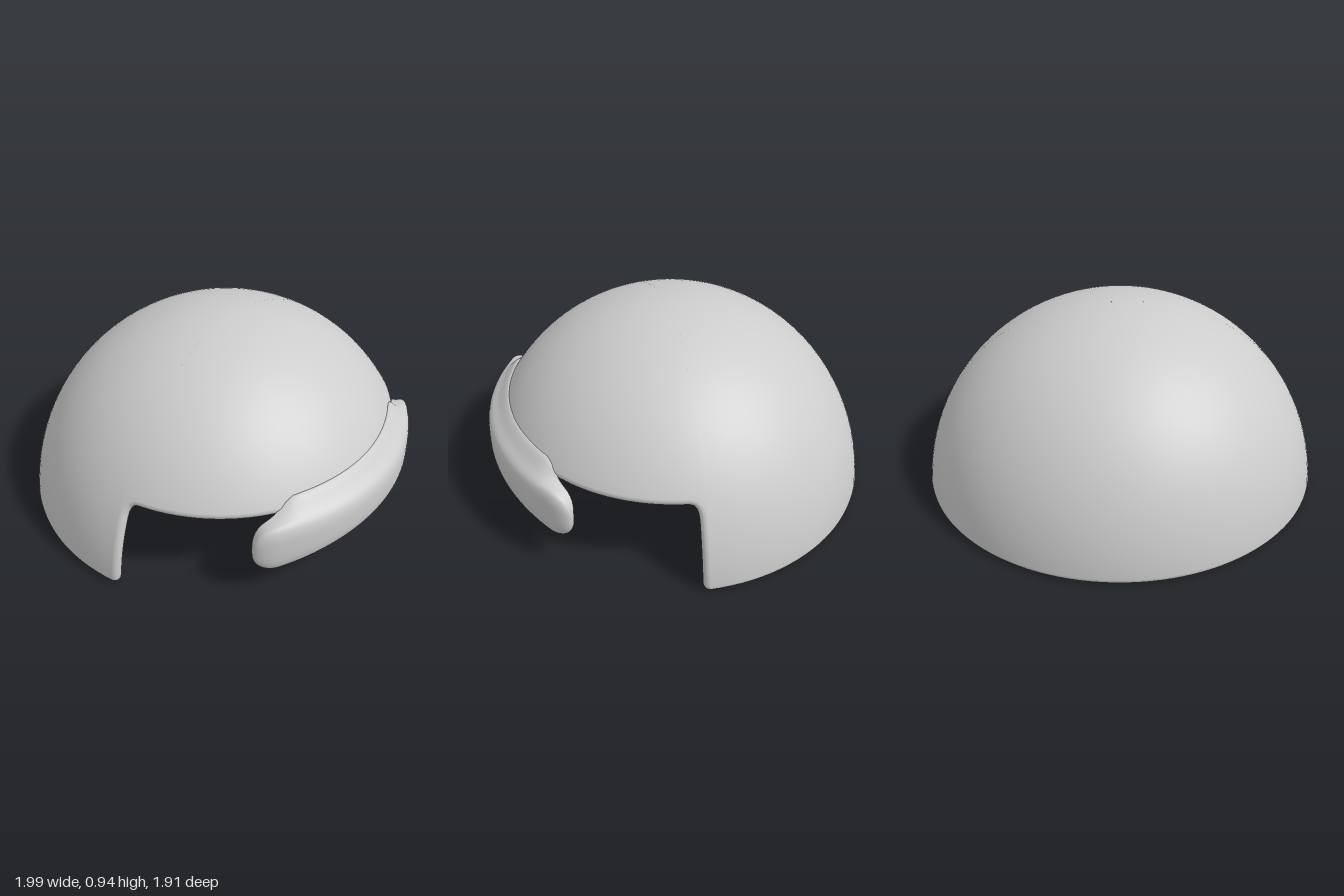
import * as THREE from 'three';
import { mergeVertices } from 'three/addons/utils/BufferGeometryUtils.js';

const RAD = Math.PI / 180;

// Smooth surface from columns of points; rows run downwards on the outside.
function loft(columns) {
  const rows = columns[0].length, pos = [], index = [];
  for (const column of columns) for (const p of column) pos.push(...p);
  for (let c = 0; c < columns.length - 1; c++) {
    for (let r = 0; r < rows - 1; r++) {
      const a = c * rows + r, b = a + 1, d = a + rows, e = d + 1;
      index.push(a, b, d, b, e, d);
    }
  }
  let geo = new THREE.BufferGeometry();
  geo.setAttribute('position', new THREE.Float32BufferAttribute(pos, 3));
  geo.setIndex(index);
  geo = mergeVertices(geo, 1e-5);
  geo.computeVertexNormals();
  return geo;
}

// Hollow dome whose lower edge steps up over the open front half.
function domeGeometry() {
  const thick = 0.055, round = 0.027, drop = 0.06;
  // Half of the lower edge: [degrees from the front, height]
  const half = [];
  for (let a = 0; a <= 75; a += 3) half.push([a, 0.41]);
  half.push([77, 0.41], [78.5, 0.41], [79.6, 0.408], [80.5, 0.402], [81.2, 0.39], [81.7, 0.37], [81.9, 0.345]);
  for (let i = 1; i <= 9; i++) half.push([81.9 + i * 0.03, 0.345 - i * 0.034]);
  half.push([82.35, 0.022], [82.8, 0.01], [83.4, 0.003], [84.2, 0]);
  for (let a = 87; a <= 180; a += 3) half.push([a, 0]);
  const mirrored = half.slice(0, -1).reverse().map(([a, y]) => [360 - a, y]);
  const edge = [...half, ...mirrored].map(([a, y]) => [a * RAD, Math.asin((y + drop) / (1 - thick / 2))]);

  const point = (phi, lat, r) => [
    r * Math.cos(lat) * Math.sin(phi),
    r * Math.sin(lat) - drop,
    0.02 + 0.975 * r * Math.cos(lat) * Math.cos(phi),
  ];
  const n = edge.length - 1, steps = 28;
  return loft(edge.map(([phi, lat], i) => {
    // direction pointing off the edge, within the shell surface
    const p = edge[Math.max(i - 1, 0)], q = edge[Math.min(i + 1, n)];
    const k = Math.cos(lat), tx = (q[0] - p[0]) * k, ty = q[1] - p[1], len = Math.hypot(tx, ty);
    const nx = ty / len / k, ny = -tx / len;
    const phi0 = phi - nx * round, lat0 = lat - ny * round;
    const column = [];
    for (let s = 0; s < steps; s++) {
      column.push(point(phi0, Math.PI / 2 + (lat0 - Math.PI / 2) * s / steps, 1));
    }
    for (let j = 0; j <= 8; j++) {
      const a = j / 8 * Math.PI, out = round * Math.sin(a);
      column.push(point(phi0 + nx * out, lat0 + ny * out, 1 - thick / 2 + thick / 2 * Math.cos(a)));
    }
    for (let s = steps - 1; s >= 0; s--) {
      column.push(point(phi0, Math.PI / 2 + (lat0 - Math.PI / 2) * s / steps, 1 - thick));
    }
    return column;
  }));
}

// Padded brow band: a soft section swept along an arc, with rounded ends.
function browGeometry() {
  const section = new THREE.CatmullRomCurve3([
    [-0.075, 0.485], [-0.015, 0.435], [0.032, 0.39], [0.045, 0.3], [0.035, 0.215],
    [0.005, 0.185], [-0.03, 0.21], [-0.048, 0.3], [-0.062, 0.37], [-0.09, 0.42],
  ].map(([d, y]) => new THREE.Vector3(d, y, 0)), true).getPoints(50);

  // Stations along the arc: [angle, section scale]
  const stations = [];
  for (let i = 8; i >= 1; i--) stations.push([-(34.5 + 6.6 * Math.sin(i * Math.PI / 16)), Math.cos(i * Math.PI / 16) ** 0.8]);
  for (let i = -16; i <= 16; i++) stations.push([34.5 * i / 16, 1]);
  for (let i = 1; i <= 8; i++) stations.push([34.5 + 6.6 * Math.sin(i * Math.PI / 16), Math.cos(i * Math.PI / 16) ** 0.8]);

  return loft(stations.map(([deg, scale]) => {
    const a = deg * RAD, x = 0.98 * Math.sin(a);
    const retract = THREE.MathUtils.smoothstep(Math.abs(x), 0.45, 0.59);
    const sag = 0.035 * Math.min(1, (x / 0.55) ** 2);
    return section.map((p) => {
      // the top flange fades out and the lower lip sags towards the ends
      let d = THREE.MathUtils.lerp(p.x, Math.max(p.x, -0.045), retract);
      let y = THREE.MathUtils.lerp(p.y, Math.min(p.y, 0.405), retract);
      y -= sag * THREE.MathUtils.clamp((0.34 - y) / 0.14, 0, 1);
      d *= scale;
      y = 0.27 + (y - 0.27) * scale;
      return [(0.98 + d) * Math.sin(a), y, -0.07 + (0.98 + d) * Math.cos(a)];
    });
  }));
}

export function createModel() {
  const group = new THREE.Group();
  group.name = 'openFacedHelmet';
  const grey = new THREE.MeshStandardMaterial({ color: 0xcccccc });
  grey.name = 'light grey';
  const parts = { domeShell: domeGeometry(), browBand: browGeometry() };
  for (const [name, geometry] of Object.entries(parts)) {
    const mesh = new THREE.Mesh(geometry, grey);
    mesh.name = name;
    group.add(mesh);
  }
  return group;
}
